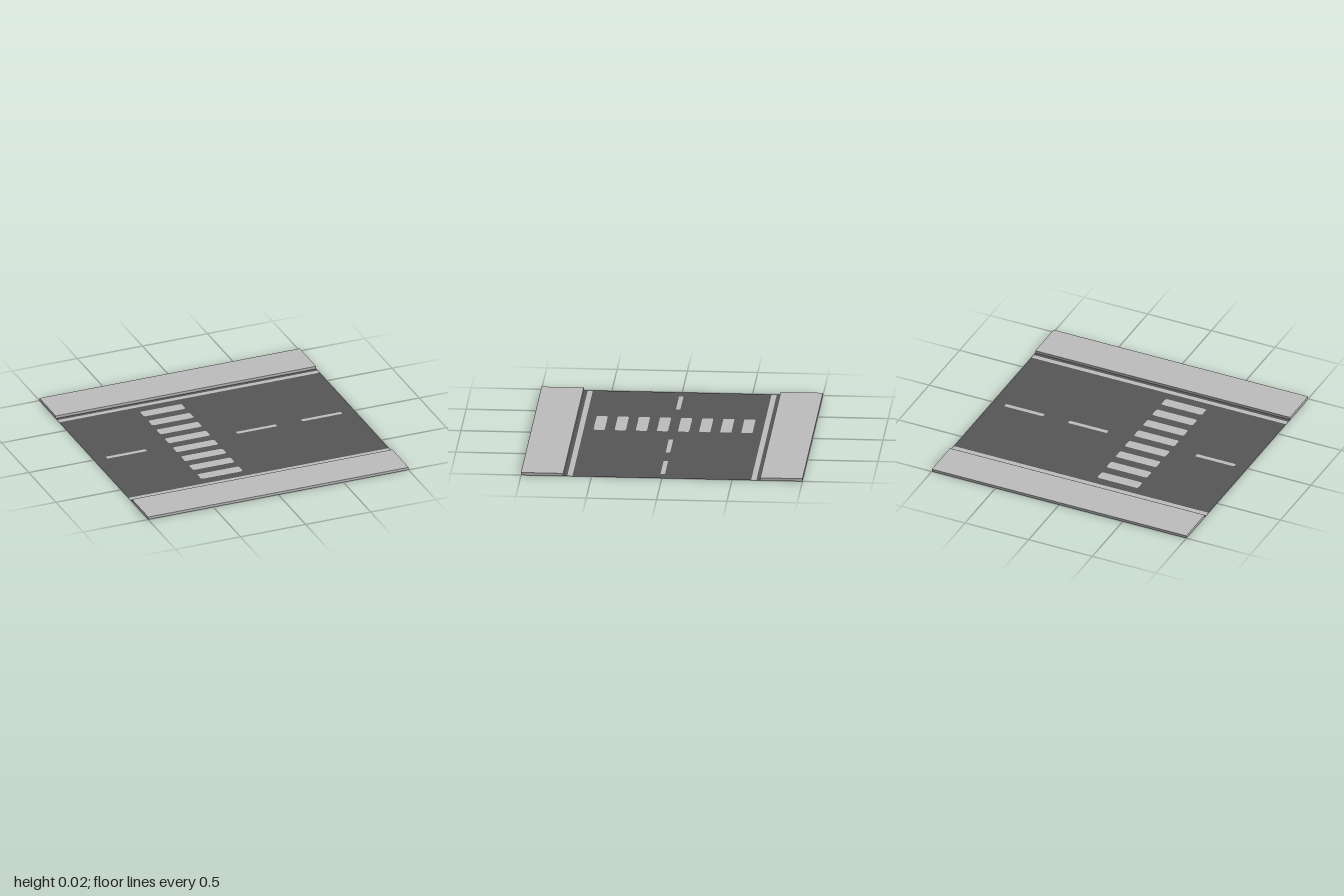
import * as THREE from 'three';

export function createModel() {
  const group = new THREE.Group();
  const asphalt = new THREE.MeshStandardMaterial({ color: 0x565656, side: THREE.DoubleSide });
  asphalt.name = 'asphalt';
  const lightGrey = new THREE.MeshStandardMaterial({ color: 0xbdbdbd, side: THREE.DoubleSide });
  lightGrey.name = 'light grey';

  // Rectangle outline with optional rounded corners, centred on (x, z)
  function plate(x, z, w, d, r = 0) {
    const s = new THREE.Shape();
    const hw = w / 2, hd = d / 2;
    if (r === 0) {
      s.moveTo(x - hw, z - hd).lineTo(x + hw, z - hd).lineTo(x + hw, z + hd).lineTo(x - hw, z + hd);
    } else {
      s.absarc(x + hw - r, z + hd - r, r, 0, Math.PI / 2);
      s.absarc(x - hw + r, z + hd - r, r, Math.PI / 2, Math.PI);
      s.absarc(x - hw + r, z - hd + r, r, Math.PI, Math.PI * 1.5);
      s.absarc(x + hw - r, z - hd + r, r, Math.PI * 1.5, Math.PI * 2);
    }
    s.closePath();
    return s;
  }

  // Lay a flat shape on the ground
  function lay(name, shape, material) {
    const geometry = new THREE.ShapeGeometry(shape, 4).rotateX(-Math.PI / 2);
    const mesh = new THREE.Mesh(geometry, material);
    mesh.name = name;
    group.add(mesh);
  }

  // Road between the edge lines; the markings are inlaid in its holes
  const road = plate(0, 0, 2, 1.27);
  const inlay = (name, shape) => {
    road.holes.push(shape);
    lay(name, shape, lightGrey);
  };

  // Pedestrian crossing bars
  for (let i = 0; i < 8; i++) inlay('crossingBar', plate(-0.25, (i - 3.5) * 0.15, 0.32, 0.08, 0.016));

  // Broken centre line
  for (const x of [-0.75, 0.25, 0.75]) inlay('centreDash', plate(x, 0, 0.306, 0.032, 0.008));

  lay('road', road, asphalt);

  // Edge line, gutter and raised pavement on both sides
  for (const side of [-1, 1]) {
    lay('edgeLine', plate(0, side * 0.6535, 2, 0.037), lightGrey);
    lay('gutter', plate(0, side * 0.686, 2, 0.028), asphalt);
    const pavement = new THREE.Mesh(new THREE.BoxGeometry(2, 0.02, 0.3), lightGrey);
    pavement.name = 'pavement';
    pavement.position.set(0, 0.01, side * 0.85);
    group.add(pavement);
  }
  return group;
}
